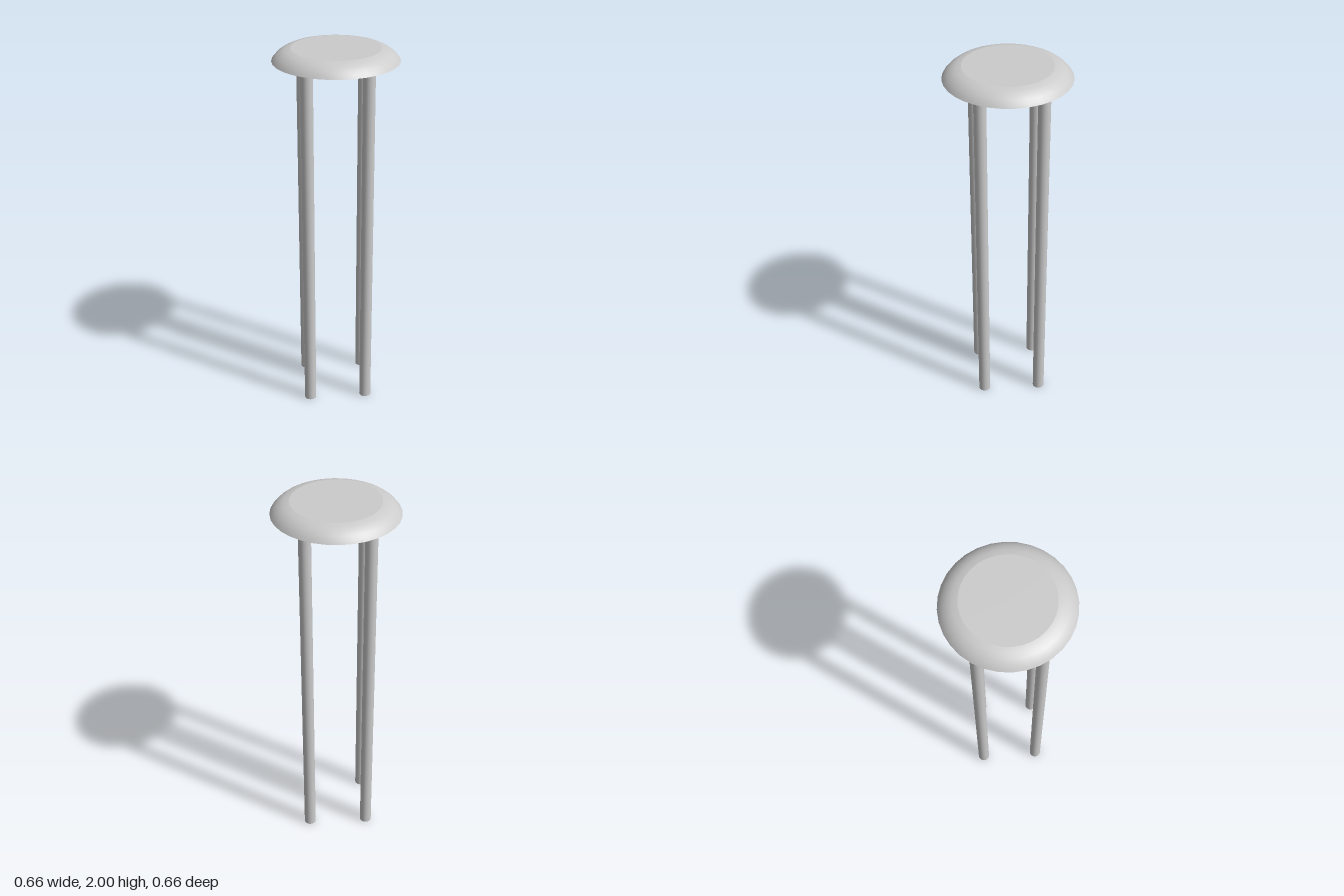
import * as THREE from 'three';

const material = new THREE.MeshStandardMaterial({ color: 0xcccccc });

// One smooth surface of revolution; separate surfaces keep crisp edges between them
function turned(name, profile) {
  const points = profile.map(([r, y]) => new THREE.Vector2(r, y));
  const mesh = new THREE.Mesh(new THREE.LatheGeometry(points, 32), material);
  mesh.name = name;
  return mesh;
}

export function createModel() {
  const model = new THREE.Group();
  model.name = 'stool';

  // Seat: thin domed shell with a flat top, hollow underneath
  const seat = new THREE.Group();
  seat.name = 'seat';
  seat.add(
    turned('seatUnderside', [[0, 1.98], [0.268, 1.98]]),
    turned('seatInnerWall', [[0.268, 1.98], [0.295, 1.963], [0.317, 1.936]]),
    turned('seatRim', [[0.317, 1.936], [0.328, 1.936]]),
    turned('seatOuterWall', [[0.328, 1.936], [0.318, 1.951], [0.303, 1.967], [0.283, 1.982], [0.258, 1.994], [0.23, 2]]),
    turned('seatTop', [[0.23, 2], [0, 2]])
  );
  model.add(seat);

  // Four straight round legs, one on each side
  const legHeight = 1.982;
  const legGeometry = new THREE.CylinderGeometry(0.032, 0.032, legHeight, 24);
  const legs = { leftLeg: [0.217, 0], rightLeg: [-0.231, 0], frontLeg: [0, 0.225], backLeg: [0, -0.229] };
  for (const [name, [x, z]] of Object.entries(legs)) {
    const leg = new THREE.Mesh(legGeometry, material);
    leg.name = name;
    leg.position.set(x, legHeight / 2, z);
    model.add(leg);
  }
  return model;
}
